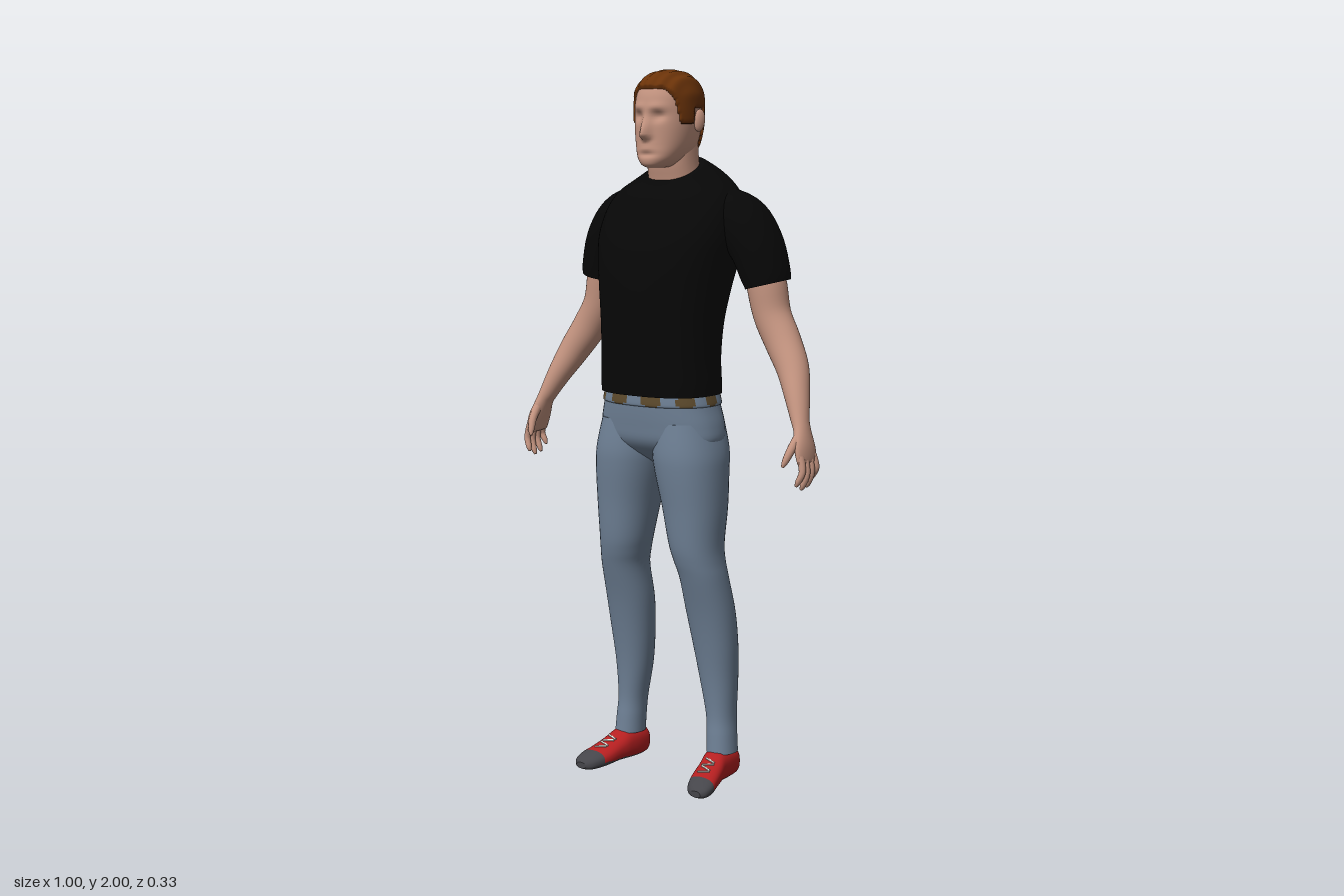
import * as THREE from 'three';

const mat = (name, hex) => Object.assign(new THREE.MeshStandardMaterial({ color: hex }), { name });
const V = (x, y, z) => new THREE.Vector3(x, y, z);
const UP = V(0, 1, 0), DOWN = V(0, -1, 0), FRONT = V(0, 0, 1);
const gauss = (d, w) => Math.exp(-(d * d) / (w * w));

// Closed smooth loft through sections [x, y, z, halfWidth, halfDepth, squareness, tilt].
// axis fixes the ring direction; without it rings follow the path.
function loft(name, sections, mats, { n = 32, k = 5, axis, deform, pick } = {}) {
  const rows = [], last = sections.length - 1;
  const at = i => sections[Math.min(last, Math.max(0, i))];
  for (let r = 0; r <= last * k; r++) {
    const i = Math.min(last - 1, Math.floor(r / k)), t = r / k - i;
    rows.push([0, 1, 2, 3, 4, 5, 6].map(c => {
      const [p, a, b, q] = [at(i - 1), at(i), at(i + 1), at(i + 2)].map(s => s[c] ?? (c === 5 ? 2 : 0));
      const m0 = (b - p) / 2, m1 = (q - a) / 2, t2 = t * t, t3 = t2 * t;
      return (2 * t3 - 3 * t2 + 1) * a + (t3 - 2 * t2 + t) * m0 + (3 * t2 - 2 * t3) * b + (t3 - t2) * m1;
    }));
  }
  const rings = rows.map((s, i) => {
    const a = rows[Math.max(0, i - 1)], b = rows[Math.min(rows.length - 1, i + 1)];
    const T = axis ?? V(b[0] - a[0], b[1] - a[1], b[2] - a[2]).normalize();
    const N1 = V(1, 0, 0).addScaledVector(T, -T.x).normalize(), N2 = T.clone().cross(N1);
    return Array.from({ length: n }, (_, j) => {
      const u = j / n * Math.PI * 2, e = 2 / s[5];
      const f = v => Math.abs(v) < 1e-9 ? 0 : Math.sign(v) * Math.abs(v) ** e;
      const p = V(s[0], s[1], s[2]).addScaledVector(N1, s[3] * f(Math.cos(u))).addScaledVector(N2, s[4] * f(Math.sin(u)));
      p.y += s[6] * (p.z - s[2]);
      if (deform) deform(p);
      return p;
    });
  });
  // Flat caps with their own rings keep the ends crisp
  const cap = ring => {
    const c = V(0, 0, 0);
    ring.forEach(p => c.addScaledVector(p, 1 / n));
    return ring.map(() => c);
  };
  const first = rings[0], end = rings[rings.length - 1];
  const all = [cap(first), first, ...rings, end, cap(end)];
  const pts = all.flat(), buckets = [].concat(mats).map(() => []);
  for (let i = 0; i < all.length - 1; i++) {
    if (i === 1 || i === all.length - 3) continue;
    for (let j = 0; j < n; j++) {
      const a = i * n + j, b = i * n + (j + 1) % n, c = b + n, d = a + n;
      const mid = pts[a].clone().add(pts[b]).add(pts[c]).add(pts[d]).multiplyScalar(0.25);
      const out = buckets[pick ? pick(mid) : 0];
      if (i > 0) out.push(a, b, c);
      if (i < all.length - 2) out.push(a, c, d);
      if (i === 0) out.push(a, b, c);
    }
  }
  const g = new THREE.BufferGeometry().setFromPoints(pts);
  g.setIndex(buckets.flat());
  let start = 0;
  if (buckets.length > 1) buckets.forEach((b, m) => { g.addGroup(start, b.length, m); start += b.length; });
  g.computeVertexNormals();
  const mesh = new THREE.Mesh(g, mats);
  mesh.name = name;
  return mesh;
}

// Level ring from [y, frontZ, backZ, halfWidth, squareness, tilt]
const level = ([y, zf, zb, rx, e = 2.3, tilt = 0]) => [0, y, (zf + zb) / 2, rx, (zf - zb) / 2, e, tilt];

export function createModel() {
  const root = new THREE.Group();
  root.name = 'standingMan';
  const skin = mat('skin', 0xc49480), hair = mat('hair', 0x6b3309), shirt = mat('shirt', 0x070707);
  const denim = mat('denim', 0x6f8196), belt = mat('belt', 0x5e4b2d), red = mat('shoeRed', 0xb41f20);
  const sole = mat('shoeGrey', 0x45454a), lace = mat('lace', 0xdcd8d2);
  const add = (...m) => root.add(...m);

  // Shirt body with a groove down the spine
  add(loft('shirtBody', [
    [1.115, 0.164, -0.096, 0.174, 2.5], [1.15, 0.167, -0.095, 0.174, 2.5], [1.22, 0.168, -0.094, 0.172, 2.5],
    [1.31, 0.168, -0.104, 0.176, 2.5], [1.4, 0.168, -0.127, 0.187, 2.5], [1.48, 0.163, -0.152, 0.2, 2.5],
    [1.55, 0.143, -0.165, 0.212, 2.5], [1.62, 0.108, -0.17, 0.208, 2.5, -0.05], [1.67, 0.078, -0.158, 0.185, 2.3, -0.1],
    [1.705, 0.055, -0.138, 0.14, 2.2, -0.25], [1.73, 0.043, -0.108, 0.093, 2, -0.42], [1.733, 0.038, -0.1, 0.08, 2, -0.45],
  ].map(level), shirt, {
    n: 64, axis: UP,
    deform: p => { if (p.z < -0.06) p.z += 0.014 * gauss(p.x, 0.045) * gauss(p.y - 1.56, 0.14); },
  }));

  // Hips and belt, broken up by wide loops
  add(loft('hips', [
    [1.12, 0.155, -0.088, 0.166], [1.08, 0.153, -0.09, 0.177], [1.03, 0.147, -0.09, 0.191],
    [0.985, 0.138, -0.078, 0.192], [0.95, 0.11, -0.055, 0.15], [0.915, 0.06, -0.02, 0.05],
  ].map(level), denim, { n: 48, axis: DOWN }));
  add(loft('belt', [[1.086, 0.155, -0.092, 0.176], [1.092, 0.159, -0.095, 0.178], [1.12, 0.158, -0.093, 0.17]].map(level),
    [belt, denim], {
      n: 90, axis: UP,
      pick: p => Math.cos(10 * Math.atan2(p.x / 0.173, (p.z - 0.032) / 0.125)) > (p.y < 1.091 ? -0.3 : 0.2) ? 1 : 0,
    }));

  // Neck and sculpted head
  add(loft('neck', [[1.64, 0.03, -0.1, 0.078], [1.7, 0.04, -0.092, 0.074], [1.75, 0.05, -0.085, 0.07], [1.81, 0.05, -0.08, 0.068]]
    .map(level), skin, { axis: UP }));
  const headRings = [
    [1.737, 0.088, 0.0, 0.03, 2.2], [1.745, 0.1, -0.035, 0.046, 2.2], [1.765, 0.104, -0.06, 0.062, 2.3],
    [1.8, 0.1, -0.078, 0.076, 2.3], [1.85, 0.1, -0.09, 0.083, 2.3], [1.9, 0.101, -0.097, 0.083, 2.2],
    [1.935, 0.096, -0.094, 0.081, 2.1], [1.965, 0.08, -0.078, 0.068, 2], [1.984, 0.05, -0.05, 0.043, 2],
    [1.991, 0.02, -0.02, 0.018, 2], [1.992, 0.004, -0.004, 0.004, 2],
  ].map(level);
  add(loft('head', headRings, skin, {
    n: 96, k: 7, axis: UP,
    deform: p => {
      if (p.z < 0.04) return;
      const { x, y } = p, ax = Math.abs(x);
      const nose = y > 1.822 ? gauss(y - 1.822, 0.042) : gauss(y - 1.822, 0.01);
      p.z += 0.03 * gauss(x, 0.014) * nose                                   // nose
        - 0.012 * gauss(ax - 0.034, 0.019) * gauss(y - 1.876, 0.013)         // eye sockets
        + 0.005 * gauss(ax - 0.03, 0.03) * gauss(y - 1.9, 0.012)             // brow
        + 0.006 * gauss(x, 0.022) * gauss(y - 1.792, 0.011)                  // lips
        - 0.004 * gauss(x, 0.024) * gauss(y - 1.792, 0.003)
        - 0.005 * gauss(x, 0.03) * gauss(y - 1.772, 0.007);
    },
  }));

  // Hair shell: stands proud above the hairline, sinks into the head below it
  const hairline = [[-0.2, 1.775], [-0.056, 1.775], [-0.046, 1.895], [-0.002, 1.895], [0.004, 1.852], [0.05, 1.852],
    [0.064, 1.92], [0.078, 1.946], [0.2, 1.95]];
  const limit = z => {
    const i = hairline.findIndex(h => h[0] > z), [z0, y0] = hairline[i - 1], [z1, y1] = hairline[i];
    return y0 + (y1 - y0) * (z - z0) / (z1 - z0);
  };
  add(loft('hair', headRings, hair, {
    n: 96, k: 8, axis: UP,
    deform: p => {
      const h = THREE.MathUtils.smoothstep(p.y - limit(p.z), -0.008, 0.006);
      const wave = 0.002 * Math.sin(Math.abs(p.x) * 230) * THREE.MathUtils.smoothstep(p.y, 1.88, 1.95);
      p.addScaledVector(p.clone().sub(V(0, 1.86, 0)).normalize(), -0.03 + h * (0.038 + wave));
    },
  }));

  for (const s of [1, -1]) {
    const side = s > 0 ? 'left' : 'right';
    const flip = list => list.map(([x, ...r]) => [x * s, ...r]);
    const limb = (part, list, m, o) => add(loft(side + part, flip(list), m, o));

    const ear = new THREE.Mesh(new THREE.SphereGeometry(1, 16, 12), skin);
    ear.name = side + 'Ear';
    ear.scale.set(0.01, 0.031, 0.018);
    ear.position.set(s * 0.086, 1.864, -0.024);
    ear.rotation.set(-0.15, s * -0.3, 0);
    add(ear);

    limb('Sleeve', [
      [0.09, 1.63, -0.06, 0.065, 0.085], [0.195, 1.585, -0.062, 0.084, 0.086], [0.252, 1.53, -0.062, 0.074, 0.082],
      [0.282, 1.455, -0.065, 0.067, 0.075], [0.291, 1.422, -0.067, 0.06, 0.071],
    ], shirt, { n: 40 });
    limb('Arm', [
      [0.27, 1.48, -0.067, 0.05, 0.056], [0.286, 1.42, -0.068, 0.054, 0.058], [0.305, 1.34, -0.068, 0.052, 0.053],
      [0.345, 1.27, -0.062, 0.051, 0.048], [0.39, 1.2, -0.046, 0.045, 0.044], [0.425, 1.13, -0.018, 0.034, 0.036],
      [0.451, 1.07, 0.004, 0.024, 0.029], [0.462, 1.045, 0.01, 0.02, 0.031], [0.476, 1.0, 0.017, 0.018, 0.043],
      [0.484, 0.965, 0.02, 0.013, 0.042], [0.486, 0.957, 0.02, 0.007, 0.036],
    ], skin, { n: 36 });

    // Fingers from index to little, then the thumb
    [[0.052, 0.9], [0.031, 0.888], [0.009, 0.893], [-0.012, 0.912]].forEach(([z, tip], i) => {
      limb('Finger' + (i + 1), [
        [0.484, 0.98, z * 0.9 + 0.002, 0.01, 0.011], [0.493, (tip + 0.98) / 2, z, 0.0095, 0.0095],
        [0.483, tip + 0.012, z * 1.1, 0.008, 0.008], [0.477, tip, z * 1.12, 0.004, 0.004],
      ], skin, { n: 12, k: 4 });
    });
    limb('Thumb', [
      [0.467, 1.035, 0.03, 0.012, 0.014], [0.463, 1.0, 0.06, 0.012, 0.012],
      [0.455, 0.968, 0.077, 0.009, 0.009], [0.45, 0.952, 0.083, 0.004, 0.004],
    ], skin, { n: 12, k: 4 });

    // Trouser leg: [y, innerX, outerX, frontZ, backZ]
    limb('TrouserLeg', [
      [1.04, 0.006, 0.18, 0.135, -0.08], [0.96, 0, 0.201, 0.142, -0.083], [0.9, 0.008, 0.206, 0.139, -0.073],
      [0.8, 0.03, 0.206, 0.126, -0.06], [0.7, 0.05, 0.201, 0.115, -0.043], [0.65, 0.063, 0.203, 0.105, -0.042],
      [0.6, 0.074, 0.209, 0.09, -0.047], [0.5, 0.075, 0.216, 0.06, -0.068], [0.4, 0.085, 0.215, 0.037, -0.08],
      [0.3, 0.1, 0.208, 0.02, -0.085], [0.2, 0.12, 0.203, 0.011, -0.08], [0.14, 0.125, 0.207, 0.014, -0.077],
      [0.09, 0.127, 0.211, 0.017, -0.076],
    ].map(([y, a, b, f, k]) => [(a + b) / 2, y, (f + k) / 2, (b - a) / 2, (f - k) / 2, 2.15]), denim, { n: 40, axis: DOWN });

    // Shoe: [z, x, halfWidth, bottomY, topY]
    limb('Shoe', [
      [-0.082, 0.165, 0.02, 0.03, 0.075], [-0.07, 0.165, 0.036, 0.015, 0.096], [-0.03, 0.167, 0.041, 0.011, 0.102],
      [0.01, 0.172, 0.041, 0.011, 0.098], [0.04, 0.18, 0.042, 0.01, 0.08], [0.08, 0.19, 0.044, 0.005, 0.061],
      [0.11, 0.2, 0.043, 0.001, 0.049], [0.135, 0.206, 0.034, 0.001, 0.037], [0.148, 0.209, 0.017, 0.006, 0.024],
    ].map(([z, x, w, a, b]) => [x, (a + b) / 2, z, w, (b - a) / 2, 2.4]), [red, sole],
    { n: 40, axis: FRONT, pick: p => (p.y < 0.023 || p.z > 0.104 ? 1 : 0) });
    [[0.042, 0.08], [0.056, 0.0725], [0.07, 0.066], [0.084, 0.06]].forEach(([z, y], i) => {
      const bar = new THREE.Mesh(new THREE.BoxGeometry(0.036, 0.004, 0.005), lace);
      bar.name = side + 'Lace' + (i + 1);
      bar.position.set(s * (0.172 + z * 0.2), y, z);
      bar.rotation.set(0.45, i % 2 ? 0.3 : -0.3, 0);
      add(bar);
    });
  }
  return root;
}
